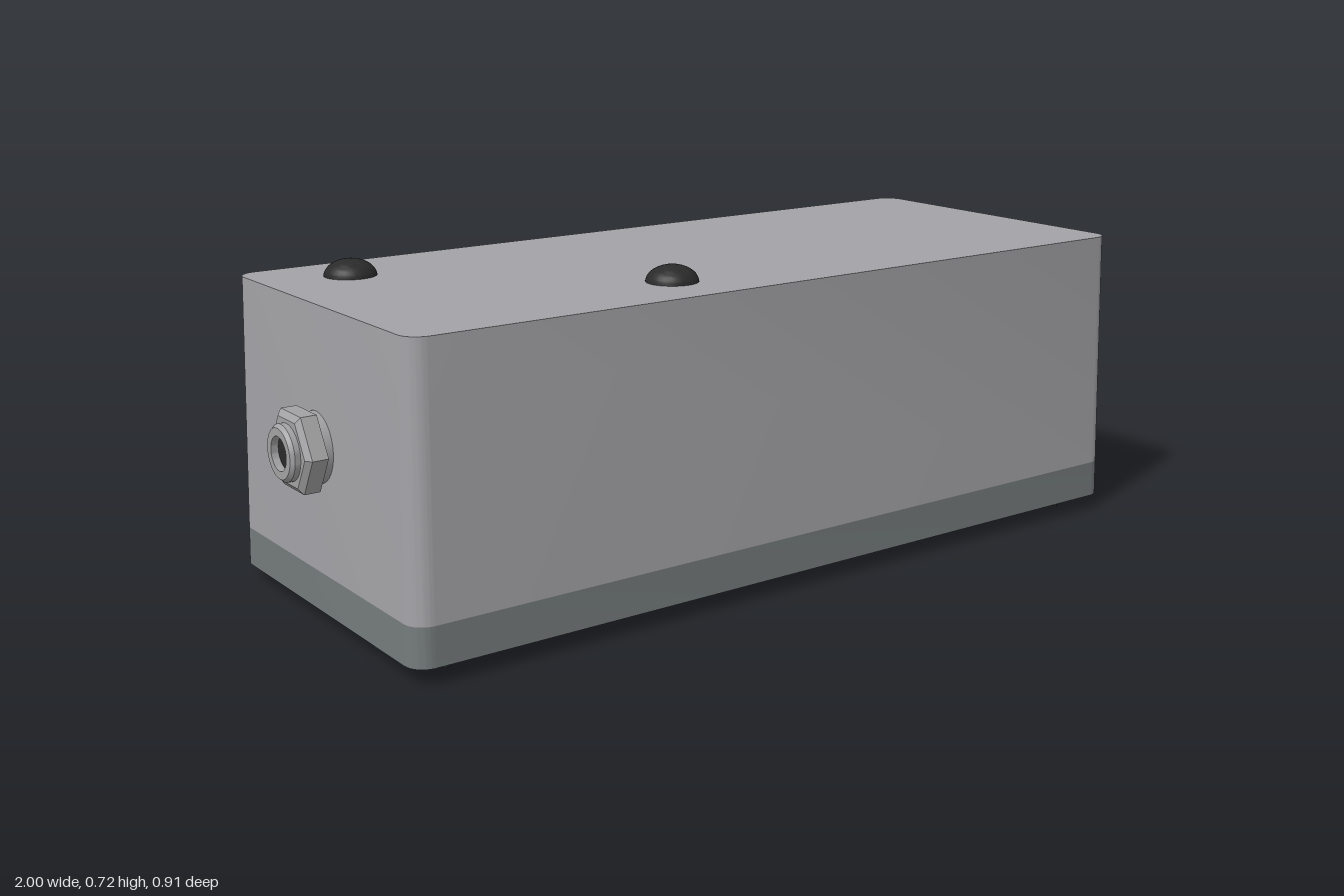
import * as THREE from 'three';
import { toCreasedNormals } from 'three/addons/utils/BufferGeometryUtils.js';

const paint = (name, color) => {
  const m = new THREE.MeshStandardMaterial({ color });
  m.name = name;
  return m;
};

function roundedRect(w, h, r) {
  const s = new THREE.Shape(), x = w / 2, y = h / 2;
  s.absarc(x - r, y - r, r, 0, Math.PI / 2);
  s.absarc(-x + r, y - r, r, Math.PI / 2, Math.PI);
  s.absarc(-x + r, -y + r, r, Math.PI, Math.PI * 1.5);
  s.absarc(x - r, -y + r, r, Math.PI * 1.5, Math.PI * 2);
  s.closePath();
  return s;
}

// Revolved solid along +y, with crisp edges
const turned = (points, sides = 40) => toCreasedNormals(
  new THREE.LatheGeometry(points.map(([r, y]) => new THREE.Vector2(r, y)), sides), 0.6);

// Domed screw head along +y
function dome(r, h) {
  const pts = [];
  for (let i = 0; i <= 10; i++) {
    const a = (i / 10) * Math.PI / 2;
    pts.push([i === 10 ? 0 : r * Math.cos(a), h * Math.sin(a)]);
  }
  return turned(pts, 28);
}

// Upright slab of the case whose sides lean inward with height
function caseSlab(y0, y1) {
  const g = new THREE.ExtrudeGeometry(roundedRect(1.925, 0.795, 0.045),
    { depth: y1 - y0, bevelEnabled: false, curveSegments: 8 });
  g.rotateX(-Math.PI / 2).translate(0, y0, 0);
  const p = g.attributes.position;
  for (let i = 0; i < p.count; i++) {
    const t = (p.getY(i) - 0.035) / 0.645;
    p.setX(i, p.getX(i) * (1 - 0.016 * t));
    p.setZ(i, p.getZ(i) * (1 - 0.026 * t));
  }
  return toCreasedNormals(g.translate(0.0375, 0, 0.0575), 0.5);
}

export function createModel() {
  const bodyGrey = paint('body grey', 0xa3a2a6);
  const lidGrey = paint('lid grey', 0x747a7b);
  const metal = paint('metal', 0xa2a2a4);
  const pinMetal = paint('pin metal', 0xc4c4c4);
  const black = paint('black', 0x2a2a2a);

  const model = new THREE.Group();
  const add = (parent, name, geo, mat, x = 0, y = 0, z = 0) => {
    const m = new THREE.Mesh(geo, mat);
    m.name = name;
    m.position.set(x, y, z);
    parent.add(m);
    return m;
  };
  const group = (name) => {
    const g = new THREE.Group();
    g.name = name;
    model.add(g);
    return g;
  };

  // Case and its bottom lid
  add(model, 'caseBody', caseSlab(0.12, 0.68), bodyGrey);
  add(model, 'bottomLid', caseSlab(0.035, 0.12), lidGrey);

  // Two round knobs on top
  for (const [x, z] of [[-0.715, -0.175], [-0.2, 0.285]])
    add(model, 'topButton', dome(0.057, 0.037), black, x, 0.679, z);

  // Lid screws with cross slots
  for (const x of [-0.83, 0.9]) for (const z of [-0.247, 0.363]) {
    const screw = group('lidScrew');
    screw.position.set(x, 0.036, z);
    add(screw, 'screwHead', dome(0.053, 0.033).rotateX(Math.PI), metal);
    for (const a of [0.4, 0.4 + Math.PI / 2])
      add(screw, 'crossSlot', new THREE.BoxGeometry(0.06, 0.009, 0.013), black, 0, -0.0315, 0).rotation.y = a;
  }

  // Side jack: flange, hex nut, hollow sleeve
  const jack = group('sideJack');
  jack.position.set(-0.91, 0.385, 0.05);
  jack.rotation.z = Math.PI / 2;
  add(jack, 'jackFlange', turned([[0.075, 0], [0.075, 0.03], [0, 0.03]]), metal);
  add(jack, 'hexNut', toCreasedNormals(turned(
    [[0, 0.025], [0.0925, 0.025], [0.0925, 0.06], [0.078, 0.07], [0, 0.07]], 6), 0.1), metal);
  add(jack, 'jackSleeve', turned(
    [[0.06, 0.065], [0.06, 0.082], [0.053, 0.09], [0.036, 0.09], [0.036, 0.072]]), metal);
  add(jack, 'jackHole', turned([[0.037, 0.074], [0, 0.074]]), black);

  // Back connector, built facing +z and turned to the back wall
  const socket = group('backConnector');
  socket.position.set(0.445, 0.385, -0.371);
  socket.rotation.set(0.016, Math.PI + 0.035, 0);
  const plate = roundedRect(0.63, 0.54, 0.05);
  for (const s of [-1, 1]) {
    const hole = new THREE.Path();
    hole.absarc(s * 0.25, -s * 0.2, 0.045, 0, Math.PI * 2, true);
    plate.holes.push(hole);
  }
  add(socket, 'connectorPlate', toCreasedNormals(new THREE.ExtrudeGeometry(plate, {
    depth: 0.034, bevelThickness: 0.006, bevelSize: 0.006, bevelOffset: -0.006,
    bevelSegments: 2, curveSegments: 12 }), 0.5), metal, 0, 0, -0.04);
  for (const s of [-1, 1]) {
    add(socket, 'mountScrew', dome(0.056, 0.044).rotateX(Math.PI / 2), black, s * 0.255, s * 0.2, -0.001);
    // Countersunk floor of the empty mounting hole
    add(socket, 'emptyHoleFloor', new THREE.CircleGeometry(0.046, 24), metal, s * 0.25, -s * 0.2, -0.014);
  }
  add(socket, 'connectorRing', turned([[0.245, -0.002], [0.245, 0.048], [0.236, 0.054],
    [0.234, 0.066], [0.198, 0.066], [0.195, 0.008]], 56).rotateX(Math.PI / 2), metal);
  add(socket, 'connectorInsert', turned([[0.196, 0], [0.196, 0.03], [0, 0.03]], 48)
    .rotateX(Math.PI / 2), black);
  for (const [x, y] of [[-0.045, 0.07], [-0.045, -0.07], [0.07, 0]])
    add(socket, 'contactPin', turned([[0.021, 0.025], [0.021, 0.055], [0.015, 0.062], [0, 0.064]], 16)
      .rotateX(Math.PI / 2), pinMetal, x, y, 0);
  add(socket, 'latchTab', new THREE.BoxGeometry(0.1, 0.045, 0.03), metal, 0, 0.213, 0.07);

  return model;
}
